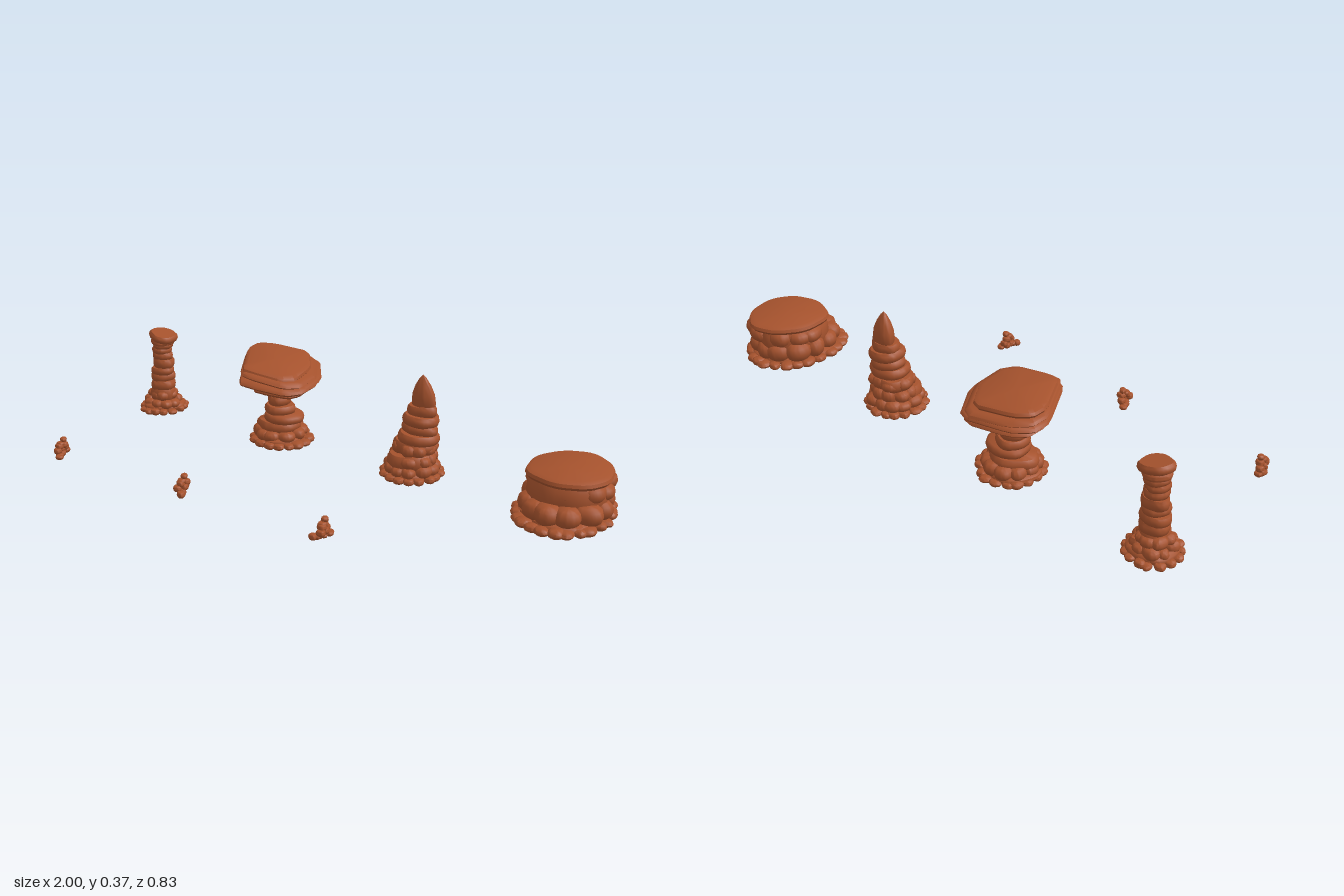
import * as THREE from 'three';
import { toCreasedNormals } from 'three/addons/utils/BufferGeometryUtils.js';

// Vertical profiles: [width factor, height factor]
const SLAB = [[0, 0], [0.78, 0], [0.95, 0.2], [1, 0.5], [0.97, 0.8], [0.86, 1], [0, 1]];
const BOULDER = [[0, 0], [0.62, 0.02], [0.88, 0.2], [1, 0.5], [0.9, 0.8], [0.64, 0.97], [0, 1]];
const TIP = [[0, 0], [0.85, 0], [1, 0.12], [0.93, 0.4], [0.66, 0.66], [0.3, 0.88], [0, 1]];

export function createModel() {
  const sandstone = new THREE.MeshStandardMaterial({ color: 0xa5522d });
  sandstone.name = 'sandstone';
  let seed = 17;
  const rand = (a = 0, b = 1) => {
    seed = (seed * 16807) % 2147483647;
    return a + (b - a) * (seed / 2147483647);
  };

  // Corner cutting turns a few corners into a worn outline
  function roundOff(points, times, cut) {
    for (let t = 0; t < times; t++) {
      points = points.flatMap(([x, z], i) => {
        const [u, v] = points[(i + 1) % points.length];
        return [[x + (u - x) * cut, z + (v - z) * cut], [u + (x - u) * cut, v + (z - v) * cut]];
      });
    }
    return points;
  }

  // Irregular polygon of unit radius stretched to rx, rz
  function blob(rx, rz, corners = 7) {
    const start = rand(0, 6.28), points = [];
    for (let i = 0; i < corners; i++) {
      const a = start + ((i + rand(-0.22, 0.22)) / corners) * Math.PI * 2;
      const r = rand(0.97, 1.17);
      points.push([Math.cos(a) * r * rx, Math.sin(a) * r * rz]);
    }
    return roundOff(points, 2, 0.22);
  }

  // Loft an outline through a vertical profile
  function stone(parent, name, outline, [x, y, z], h, profile, tiltX = 0, tiltZ = 0) {
    const n = outline.length, pos = [], index = [];
    profile.forEach(([s, v]) => outline.forEach(([px, pz]) => pos.push(px * s, v * h, pz * s)));
    for (let k = 0; k < profile.length - 1; k++) {
      for (let i = 0; i < n; i++) {
        const a = k * n + i, b = k * n + (i + 1) % n;
        if (profile[k + 1][0] > 0) index.push(a, a + n, b + n);
        if (profile[k][0] > 0) index.push(a, b + n, b);
      }
    }
    const geo = new THREE.BufferGeometry();
    geo.setAttribute('position', new THREE.Float32BufferAttribute(pos, 3));
    geo.setIndex(index);
    const mesh = new THREE.Mesh(toCreasedNormals(geo, 0.75), sandstone);
    mesh.name = name;
    mesh.position.set(x, y, z);
    mesh.rotation.set(tiltX, 0, tiltZ);
    parent.add(mesh);
  }

  // Ring of stones around an ellipse
  function ring(parent, name, n, x, z, rx, rz, size, y, h) {
    for (let i = 0; i < n; i++) {
      const a = ((i + rand(-0.2, 0.2)) / n) * Math.PI * 2, s = size * rand(0.85, 1.15);
      stone(parent, name, blob(s, s * rand(0.85, 1.1)),
        [x + Math.cos(a) * rx, y, z + Math.sin(a) * rz], h * rand(0.85, 1.1), BOULDER);
    }
  }

  // Stack of layers: [x, z, y0, y1, rx, rz]
  function stack(parent, name, layers) {
    for (const [x, z, y0, y1, rx, rz] of layers) {
      stone(parent, name, blob(rx, rz), [x, y0, z], y1 - y0, SLAB, rand(-0.06, 0.06), rand(-0.06, 0.06));
    }
  }

  const model = new THREE.Group();
  model.name = 'desertRocks';
  const group = name => {
    const g = new THREE.Group();
    g.name = name;
    model.add(g);
    return g;
  };

  // Slim pillar with a small tilted cap
  const pillar = group('pillar');
  stone(pillar, 'pillarFoot', blob(0.08, 0.08), [-0.905, 0.003, -0.205], 0.03, SLAB);
  ring(pillar, 'pillarPebble', 15, -0.905, -0.205, 0.078, 0.082, 0.02, 0, 0.022);
  ring(pillar, 'pillarBoulder', 9, -0.905, -0.205, 0.052, 0.052, 0.027, 0.018, 0.035);
  ring(pillar, 'pillarBoulder', 7, -0.905, -0.205, 0.038, 0.038, 0.025, 0.048, 0.035);
  stack(pillar, 'pillarLayer', [
    [-0.9, -0.205, 0.04, 0.095, 0.05, 0.05], [-0.9, -0.205, 0.085, 0.125, 0.052, 0.05],
    [-0.905, -0.21, 0.12, 0.155, 0.047, 0.046], [-0.9, -0.205, 0.15, 0.18, 0.046, 0.045],
    [-0.9, -0.21, 0.175, 0.215, 0.048, 0.044], [-0.9, -0.205, 0.21, 0.24, 0.041, 0.04],
    [-0.9, -0.205, 0.235, 0.262, 0.039, 0.04], [-0.897, -0.205, 0.258, 0.285, 0.044, 0.044],
  ]);
  stone(pillar, 'pillarCap', blob(0.05, 0.05, 6), [-0.895, 0.275, -0.205], 0.025, SLAB, 0, -0.1);
  stone(pillar, 'pillarCap', blob(0.058, 0.054, 6), [-0.895, 0.293, -0.205], 0.03, SLAB, 0.04, -0.2);

  // Balanced rock: stepped base, thin neck, wide cap
  const balanced = group('balancedRock');
  const bx = -0.325, bz = -0.205;
  stone(balanced, 'balancedFoot', blob(0.1, 0.1), [bx, 0.003, bz], 0.03, SLAB);
  ring(balanced, 'balancedPebble', 17, bx + 0.01, bz, 0.1, 0.1, 0.024, 0, 0.023);
  ring(balanced, 'balancedBoulder', 10, bx, bz, 0.07, 0.07, 0.034, 0.018, 0.045);
  stack(balanced, 'balancedLayer', [
    [bx, bz, 0.04, 0.085, 0.083, 0.083], [bx + 0.015, bz, 0.08, 0.115, 0.077, 0.075],
    [bx, bz, 0.11, 0.145, 0.06, 0.06], [bx - 0.005, bz, 0.14, 0.178, 0.044, 0.046],
    [bx - 0.005, bz, 0.17, 0.197, 0.034, 0.036], [bx, bz, 0.19, 0.215, 0.05, 0.05],
  ]);
  const capOutline = roundOff([[-0.18, -0.105], [-0.125, -0.15], [0.055, -0.19], [0.162, -0.035],
    [0.178, 0.1], [0.145, 0.158], [-0.005, 0.18], [-0.055, 0.18], [-0.18, -0.025]], 1, 0.15);
  // Cap slabs: [scale, y, height, tilt, shift in x]
  [[0.5, 0.2, 0.028, -0.02, 0.02], [0.72, 0.218, 0.028, -0.04, 0.012], [0.91, 0.236, 0.026, -0.06, 0],
    [1, 0.253, 0.028, -0.07, 0], [0.95, 0.273, 0.025, -0.11, -0.005],
    [0.83, 0.29, 0.03, -0.11, -0.015]].forEach(([s, y, h, tilt, dx], k) => {
    const outline = capOutline.map(([x, z]) => [x * s * rand(0.98, 1.02), z * s * rand(0.98, 1.02)]);
    stone(balanced, 'balancedCap', outline, [bx + dx, y, bz], h, SLAB, k % 2 ? 0.03 : -0.03, tilt);
  });

  // Pointed spire
  const spire = group('spire');
  stone(spire, 'spireFoot', blob(0.09, 0.09), [0.25, 0.003, -0.205], 0.03, SLAB);
  ring(spire, 'spirePebble', 16, 0.25, -0.205, 0.093, 0.094, 0.023, 0, 0.023);
  ring(spire, 'spireBoulder', 11, 0.25, -0.205, 0.072, 0.075, 0.03, 0.018, 0.04);
  ring(spire, 'spireBoulder', 9, 0.252, -0.208, 0.06, 0.06, 0.032, 0.05, 0.045);
  ring(spire, 'spireBoulder', 8, 0.255, -0.21, 0.052, 0.052, 0.031, 0.088, 0.042);
  stack(spire, 'spireLayer', [
    [0.25, -0.205, 0.03, 0.09, 0.085, 0.085], [0.254, -0.21, 0.085, 0.135, 0.075, 0.075],
    [0.262, -0.215, 0.125, 0.165, 0.077, 0.07], [0.266, -0.22, 0.16, 0.195, 0.071, 0.062],
    [0.27, -0.222, 0.19, 0.23, 0.066, 0.06], [0.274, -0.225, 0.222, 0.262, 0.055, 0.045],
  ]);
  stone(spire, 'spireTip', blob(0.046, 0.037), [0.277, 0.252, -0.228], 0.121, TIP, 0.02, 0.06);

  // Broad flat mesa
  const mesa = group('mesa');
  const mx = 0.825, mz = -0.21;
  stone(mesa, 'mesaFoot', blob(0.14, 0.17, 9), [mx, 0.003, mz], 0.03, SLAB);
  ring(mesa, 'mesaPebble', 24, mx, mz, 0.142, 0.18, 0.028, 0, 0.027);
  ring(mesa, 'mesaBoulder', 12, mx, mz, 0.115, 0.132, 0.046, 0.02, 0.066);
  ring(mesa, 'mesaBoulder', 9, mx + 0.005, mz - 0.035, 0.105, 0.095, 0.05, 0.078, 0.058);
  stone(mesa, 'mesaCore', blob(0.13, 0.135, 9), [mx, 0.02, mz - 0.02], 0.125, SLAB);
  const mesaOutline = roundOff([[-0.145, -0.03], [-0.08, -0.13], [0.02, -0.168], [0.12, -0.1],
    [0.15, 0.02], [0.105, 0.105], [0, 0.148], [-0.125, 0.105]], 2, 0.2);
  stone(mesa, 'mesaTop', mesaOutline, [mx, 0.13, mz - 0.022], 0.035, SLAB);

  // Little piles of pebbles in front
  for (const [x, tilt] of [[-0.902, 0.4], [-0.326, 0.3], [0.252, -0.4]]) {
    const pile = group('pebblePile');
    for (let i = 0; i < 7; i++) {
      const t = (i / 6) * 2 - 1;
      stone(pile, 'pilePebble', blob(0.015, 0.014), [x + t * tilt * 0.04 + rand(-0.009, 0.009), 0, 0.37 + t * 0.032],
        rand(0.014, 0.024), BOULDER);
    }
    for (let i = 0; i < 5; i++) {
      stone(pile, 'pilePebble', blob(0.016, 0.015), [x + rand(-0.009, 0.009), 0.014 + (i % 2) * 0.014,
        0.345 + i * 0.0115], 0.022, BOULDER);
    }
    stone(pile, 'pilePebble', blob(0.015, 0.015), [x, 0.037, 0.372], 0.018, BOULDER);
    stone(pile, 'pilePebble', blob(0.013, 0.014), [x + 0.002, 0.05, 0.358], 0.018, BOULDER);
  }
  return model;
}
